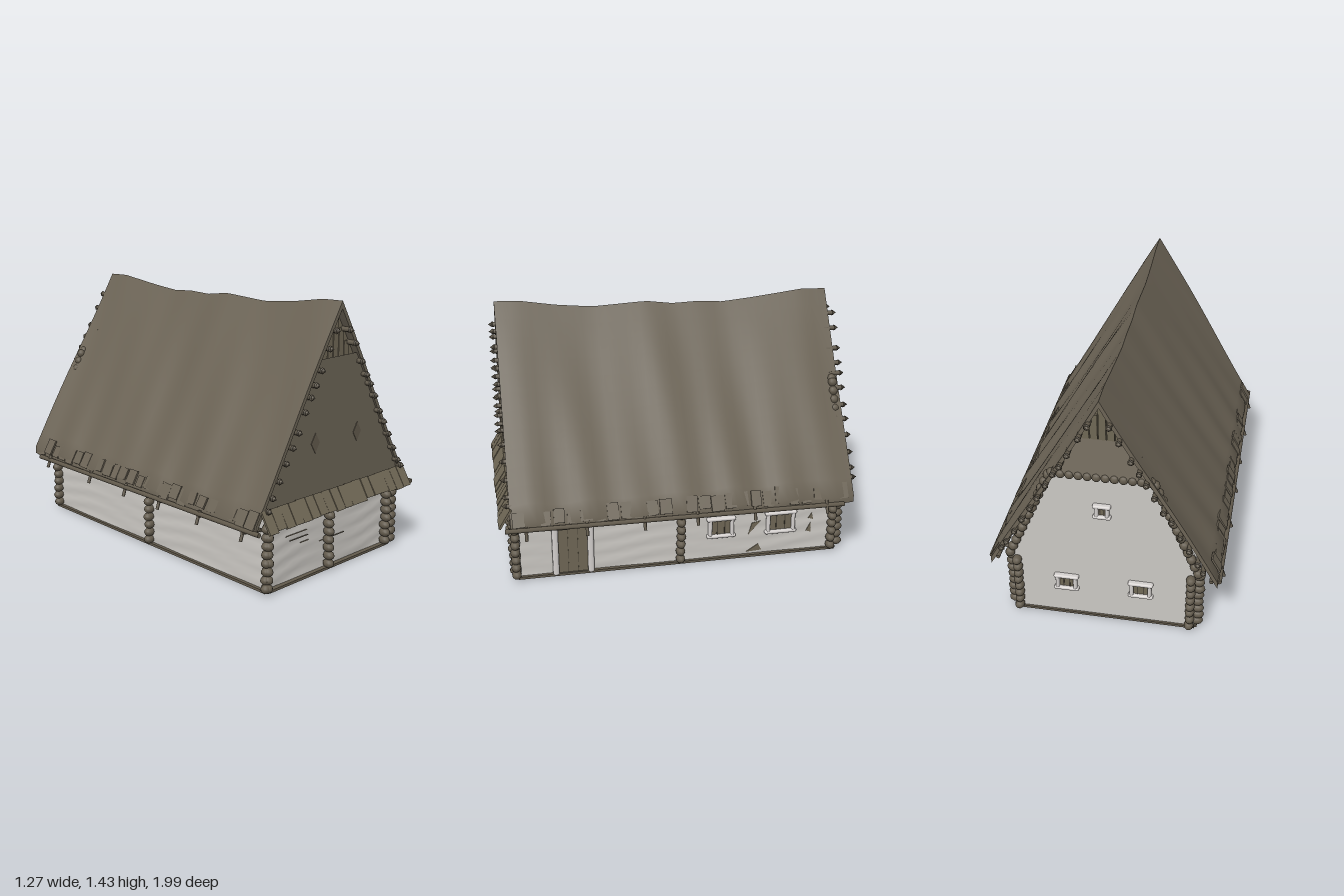
import * as THREE from 'three';
import { toCreasedNormals } from 'three/addons/utils/BufferGeometryUtils.js';
import { RoundedBoxGeometry } from 'three/addons/geometries/RoundedBoxGeometry.js';

const mat = (name, color, side = THREE.FrontSide) => {
  const m = new THREE.MeshStandardMaterial({ color, side });
  m.name = name;
  return m;
};

export function createModel() {
  const plaster = mat('plaster', 0xcbc8c3);
  const trim = mat('plasterTrim', 0xd3cfcd);
  const thatch = mat('thatch', 0x6c6456, THREE.DoubleSide);
  const timber = mat('timber', 0x625a4c, THREE.DoubleSide);
  const board = mat('boards', 0x6f6755, THREE.DoubleSide);
  const dark = mat('darkWood', 0x4a443a);
  const house = new THREE.Group();
  house.name = 'logHouse';

  let seed = 7;
  const rnd = () => (seed = (seed * 16807) % 2147483647) / 2147483647;
  const jit = a => (rnd() - 0.5) * 2 * a;

  function add(name, geo, material, pos = [0, 0, 0], rot = [0, 0, 0], parent = house) {
    const m = new THREE.Mesh(geo, material);
    m.name = name;
    m.position.set(...pos);
    m.rotation.set(...rot);
    parent.add(m);
    return m;
  }
  const box = (w, h, d) => new THREE.BoxGeometry(w, h, d);
  const polygon = pts => new THREE.Shape(pts.map(p => new THREE.Vector2(...p)));
  const group = name => {
    const g = new THREE.Group();
    g.name = name;
    house.add(g);
    return g;
  };

  // Ridge line sags towards the middle
  const ridgePts = [[-0.95, 1.41], [-0.8, 1.415], [-0.5, 1.38], [-0.33, 1.365], [-0.2, 1.375],
    [-0.05, 1.37], [0.1, 1.39], [0.4, 1.375], [0.6, 1.395], [0.8, 1.428], [0.95, 1.432]];
  const ridge = z => {
    let i = 0;
    while (i < ridgePts.length - 2 && z > ridgePts[i + 1][0]) i++;
    const [a, ya] = ridgePts[i], [b, yb] = ridgePts[i + 1];
    return ya + (yb - ya) * THREE.MathUtils.clamp((z - a) / (b - a), 0, 1);
  };
  const EAVE_X = 0.6, EAVE_Y = 0.385;
  const roofX = y => EAVE_X * (1.42 - y) / (1.42 - EAVE_Y);

  // Roof: one slab folded over the ridge
  const roofGeo = new THREE.BoxGeometry(2, 0.04, 2, 24, 1, 40);
  const rp = roofGeo.attributes.position;
  for (let i = 0; i < rp.count; i++) {
    const x = rp.getX(i), t = rp.getY(i) - 0.02, zz = rp.getZ(i), s = Math.abs(x);
    const z = zz > 0 ? zz * 0.93 : zz * (0.935 + 0.025 * s);
    const lump = 0.006 * Math.sin(z * 9 + x * 3) * Math.sin(s * Math.PI) + 0.006 * s * Math.sin(z * 23 + x * 2);
    rp.setXYZ(i, x * EAVE_X + Math.sign(x) * lump, ridge(z) * (1 - s) + (EAVE_Y + 0.008 * Math.sin(z * 17)) * s + t + lump, z);
  }
  add('roof', toCreasedNormals(roofGeo, 0.6), thatch);

  // Uneven plastered walls
  const wallGeo = new THREE.BoxGeometry(0.97, 0.42, 1.77, 14, 16, 24);
  const wp = wallGeo.attributes.position;
  for (let i = 0; i < wp.count; i++) {
    const [x, y, z] = [wp.getX(i), wp.getY(i), wp.getZ(i)];
    const n = 1 + 0.005 * Math.sin(y * 75 + Math.sin(z * 7 + x * 9) * 2);
    wp.setXYZ(i, x * n, y, z * (1 + (n - 1) * 0.6));
  }
  wallGeo.computeVertexNormals();
  add('walls', toCreasedNormals(wallGeo, 0.7), plaster, [0, 0.22, 0]);
  add('floor', box(0.98, 0.012, 1.82), dark, [0, 0.008, 0]);
  for (const s of [-1, 1]) {
    add('sideSill', box(0.025, 0.014, 1.8), timber, [s * 0.49, 0.009, 0]);
    add('endSill', box(0.95, 0.014, 0.025), timber, [0, 0.009, s * 0.9]);
  }
  // Floor joists on the underside
  for (const [x, z, w] of [[0.3, 0.05, 0.4], [-0.2, 0, 0.5], [0.2, 0.5, 0.5], [0.1, -0.3, 0.25]])
    add('floorJoist', box(w, 0.01, 0.03), timber, [x, 0.005, z]);

  // Tall back wall
  const back = new THREE.ExtrudeGeometry(polygon([[-0.485, 0.02], [0.485, 0.02], [0.485, 0.47], [0.25, 0.95], [-0.25, 0.95], [-0.485, 0.47]]),
    { depth: 0.03, bevelEnabled: false });
  add('backWall', back, plaster, [0, 0, -0.905]);

  // Stacked log ends at corners and at the cross walls
  const logs = group('logEnds');
  const ball = new THREE.SphereGeometry(0.026, 10, 8);
  const column = (x, z, alongX) => {
    for (let k = 0; k < 8; k++) {
      const m = add('logEnd', ball, timber, [x + jit(0.003), 0.037 + k * 0.045, z + jit(0.003)], [0, 0, 0], logs);
      m.scale.set(alongX ? 1.3 : 1, 0.95, alongX ? 1 : 1.3);
    }
  };
  for (const s of [-1, 1]) {
    for (const z of [0.91, 0, -0.875]) column(s * 0.502, z, true);
    column(s * 0.465, -0.92, false);
  }
  for (const x of [-0.497, -0.035, 0.45]) column(x, 0.912, false);
  // Log ends bordering the upper back wall
  for (let k = 0; k < 13; k++) {
    const f = k / 12;
    for (const s of [-1, 1])
      add('slopeLogEnd', ball, timber, [s * (0.5 - 0.23 * f), 0.4 + 0.54 * f, -0.915], [0, 0, 0], logs);
  }
  for (let k = 0; k < 12; k++)
    add('topLogEnd', ball, timber, [-0.25 + k * 0.0455, 0.955, -0.915], [0, 0, 0], logs);

  // Gables: boarded panels with a recessed planked peak at each end
  const face = pts => new THREE.ShapeGeometry(polygon(pts));
  const gx = y => roofX(y) - 0.012;
  add('frontGable', face([[-gx(0.42), 0.42], [gx(0.42), 0.42], [gx(1.15), 1.15], [-gx(1.15), 1.15]]), thatch, [0, 0, 0.915]);
  add('frontPeak', face([[-gx(1.1), 1.1], [gx(1.1), 1.1], [0, 1.4]]), board, [0, 0, 0.885]);
  add('backPeak', face([[-gx(0.9), 0.9], [gx(0.9), 0.9], [0, 1.4]]), board, [0, 0, -0.86]);
  const hip = face([[-0.255, 0], [0.255, 0], [0.14, 0.2], [-0.14, 0.2]]);
  add('backHip', hip, thatch, [0, 0.96, -0.93], [0.3, 0, 0]);
  for (let k = -2; k <= 2; k++) {
    const x = k * 0.042, top = 1.36 - Math.abs(x) * 1.72;
    for (const z of [0.888, -0.866])
      add('peakPlank', box(0.037, top - 1.1, 0.012), board, [x, (top + 1.1) / 2, z]);
  }
  for (const x of [-0.165, 0.165])
    add('gableDiamond', new THREE.ExtrudeGeometry(polygon([[0, -0.053], [0.032, 0], [0, 0.053], [-0.032, 0]]), { depth: 0.004, bevelEnabled: false }), timber, [x, 0.725, 0.914]);

  // Sloping board skirt below the front gable
  const skirt = group('frontSkirt');
  for (let k = 0; k < 18; k++) {
    const len = 0.118 + jit(0.008);
    add('skirtBoard', box(0.061, len, 0.012), board, [-0.535 + k * 0.063, 0.457 - len * 0.42, 0.955 + jit(0.003)], [-0.55, 0, jit(0.02)], skirt);
  }

  // Pointed roof pole ends at both gables
  const poles = group('roofPoles');
  const poleGeo = new THREE.CylinderGeometry(0.014, 0.014, 0.07, 6);
  const tipGeo = new THREE.ConeGeometry(0.018, 0.025, 6);
  for (const y of [0.46, 0.51, 0.59, 0.67, 0.75, 0.82, 0.9, 0.97, 1.03, 1.1, 1.2, 1.28])
    for (const sx of [-1, 1]) for (const sz of [-1, 1]) {
      const x = sx * (roofX(y) - 0.028), yy = y + jit(0.008), z = sz > 0 ? 0.915 : -0.94;
      add('poleEnd', poleGeo, timber, [x, yy, z], [Math.PI / 2, 0, 0], poles);
      add('poleTip', tipGeo, timber, [x, yy, z + sz * 0.04], [sz * Math.PI / 2, 0, 0], poles);
    }

  // Eaves: ragged shingles, gutter poles and hooks
  const eaves = group('eaves');
  for (const s of [-1, 1]) {
    for (let k = 0; k < 26; k++) {
      const len = 0.06 + rnd() * 0.035;
      add('eaveShingle', box(0.01, len, 0.05 + rnd() * 0.02), thatch,
        [s * (0.583 + jit(0.006)), 0.408 + jit(0.01), -0.9 + k * 0.0715], [jit(0.06), 0, s * 0.52], eaves);
    }
    for (const [x, y, r, l, z] of [[0.61, 0.352, 0.013, 1.86, 0.03], [0.57, 0.362, 0.011, 1.84, 0]])
      add('eavePole', new THREE.CylinderGeometry(r, r, l, 7), timber, [s * x, y, z], [Math.PI / 2 - 0.008, 0, 0], eaves);
    for (const z of [0.85, 0.53, 0.22, -0.07, -0.39, -0.8]) {
      add('eaveHook', new THREE.CylinderGeometry(0.009, 0.009, 0.075, 6), timber, [s * 0.615, 0.338, z], [0, 0, s * 0.35], eaves);
      add('eaveBracket', new THREE.CylinderGeometry(0.01, 0.01, 0.15, 6), timber, [s * 0.545, 0.335, z], [0, 0, Math.PI / 2 + s * 0.15], eaves);
    }
  }

  // Windows with rounded plaster surrounds and wooden shutters
  function windowUnit(x, y, z, w, h, turn) {
    const g = group('window');
    g.position.set(x, y, z);
    g.rotation.y = turn;
    const t = 0.021;
    add('shutter', box(w, h, 0.01), board, [0, 0, 0.004], [0, 0, 0], g);
    for (const s of [-1, 1]) {
      add('windowJamb', new RoundedBoxGeometry(t, h + t, 0.03, 3, 0.01), trim, [s * w / 2, 0, 0.01], [0, 0, 0], g);
      add('windowRail', new RoundedBoxGeometry(w + t * 1.9, t, 0.034, 3, 0.01), trim, [0, s * h / 2, 0.01], [0, 0, 0], g);
      add('windowBar', box(0.006, h, 0.008), dark, [s * w * 0.17, 0, 0.008], [0, 0, 0], g);
    }
  }
  windowUnit(0.487, 0.207, -0.23, 0.125, 0.105, Math.PI / 2);
  windowUnit(0.487, 0.207, -0.575, 0.145, 0.115, Math.PI / 2);
  windowUnit(0.2, 0.235, -0.907, 0.095, 0.08, Math.PI);
  windowUnit(-0.2, 0.24, -0.907, 0.095, 0.08, Math.PI);
  windowUnit(0, 0.74, -0.907, 0.055, 0.065, Math.PI);

  // Door
  const door = group('door');
  for (let k = 0; k < 3; k++)
    add('doorPlank', box(0.012, 0.285, 0.052), board, [0.486, 0.157, 0.545 + k * 0.054], [0, 0, 0], door);
  add('doorGap', box(0.004, 0.285, 0.17), dark, [0.487, 0.157, 0.6], [0, 0, 0], door);
  for (const z of [0.502, 0.695])
    add('doorJamb', new RoundedBoxGeometry(0.045, 0.3, 0.034, 3, 0.014), trim, [0.492, 0.158, z], [0, 0, 0], door);
  add('doorLintel', new RoundedBoxGeometry(0.055, 0.04, 0.27, 3, 0.016), trim, [0.494, 0.318, 0.6], [0, 0, 0], door);

  // Patches of fallen plaster and cracks
  const patches = [[[-0.39, 0.14], [-0.41, 0.21], [-0.46, 0.22]], [[-0.38, 0.03], [-0.47, 0.035], [-0.45, 0.075]],
    [[-0.43, 0.28], [-0.47, 0.27], [-0.46, 0.31]], [[-0.73, 0.13], [-0.76, 0.12], [-0.755, 0.18]], [[-0.74, 0.21], [-0.77, 0.2], [-0.76, 0.24]]];
  for (const p of patches)
    add('plasterPatch', new THREE.ExtrudeGeometry(polygon(p.map(([z, y]) => [-z, y])), { depth: 0.004, bevelEnabled: false }), board, [0.486, 0, 0], [0, Math.PI / 2, 0]);
  for (const [x, y, w] of [[-0.26, 0.26, 0.16], [-0.24, 0.23, 0.14], [-0.2, 0.2, 0.06], [0.02, 0.168, 0.2], [0.23, 0.325, 0.18]])
    add('wallCrack', box(w, 0.004, 0.004), timber, [x, y, 0.888]);
  return house;
}
